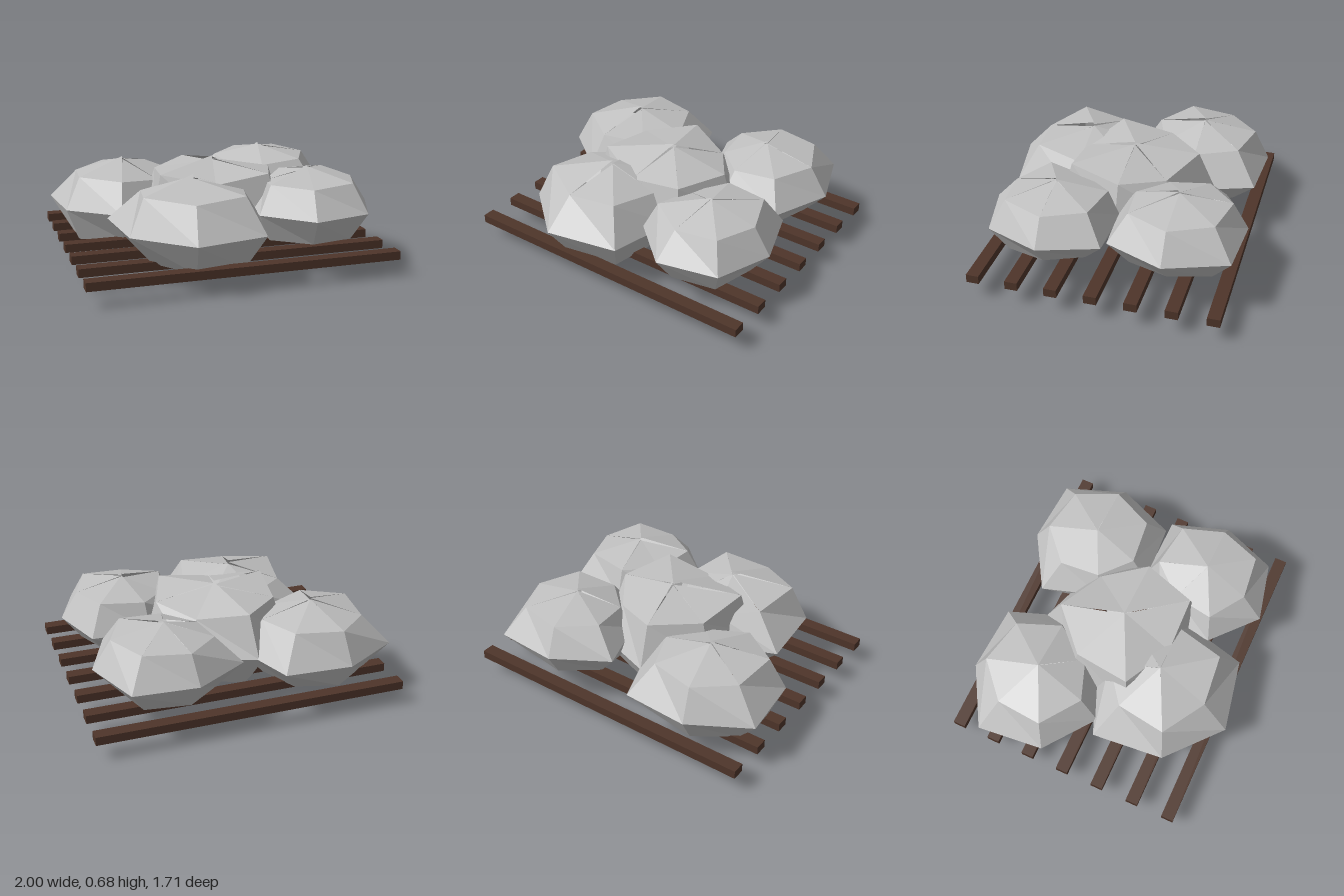
import * as THREE from 'three';

const SIDES = 7;
const stone = new THREE.MeshStandardMaterial({ color: 0xc0c0c0, flatShading: true, side: THREE.DoubleSide });
stone.name = 'grey stone';
const wood = new THREE.MeshStandardMaterial({ color: 0x4e352a });
wood.name = 'dark wood';

// Each boulder: centre, half height, and radii of the widest and upper rings,
// listed from +x round towards +z
const BOULDERS = [
  { name: 'backRightBoulder', at: [-0.53, 0.35, -0.38], h: 0.27,
    mid: [0.48, 0.39, 0.46, 0.47, 0.52, 0.45, 0.53], up: [0.33, 0.3, 0.34, 0.36, 0.33, 0.35, 0.35] },
  { name: 'backLeftBoulder', at: [0.465, 0.41, -0.435], h: 0.24,
    mid: [0.455, 0.48, 0.41, 0.36, 0.49, 0.43, 0.5], up: [0.335, 0.34, 0.3, 0.28, 0.31, 0.33, 0.34] },
  { name: 'frontLeftBoulder', at: [0.53, 0.41, 0.33], h: 0.235,
    mid: [0.42, 0.45, 0.45, 0.425, 0.4, 0.39, 0.476], up: [0.31, 0.335, 0.3, 0.33, 0.27, 0.32, 0.34] },
  { name: 'frontRightBoulder', at: [-0.23, 0.35, 0.33], h: 0.285,
    mid: [0.45, 0.55, 0.535, 0.51, 0.56, 0.42, 0.45], up: [0.33, 0.395, 0.35, 0.4, 0.34, 0.33, 0.33] },
  { name: 'centreBoulder', at: [0, 0.35, -0.025], h: 0.31,
    mid: [0.48, 0.52, 0.45, 0.52, 0.47, 0.535, 0.48], up: [0.395, 0.44, 0.36, 0.445, 0.39, 0.42, 0.34] },
];

function seeded(seed) {
  let s = seed;
  return () => (s = (s * 16807) % 2147483647) / 2147483647;
}

// Faceted seven-sided boulder; the cap facets meet the axis at uneven heights
function boulder({ name, at, h, mid, up }, index) {
  const rand = seeded(1234 + index * 777);
  const mean = mid.reduce((a, b) => a + b) / SIDES;
  const low = mid.map(() => mean * (0.68 + 0.12 * rand()));
  const point = (k, r, y) => {
    const a = (k / SIDES) * Math.PI * 2;
    return [Math.cos(a) * r, y, Math.sin(a) * r];
  };
  const ringAt = (radii, dir) => radii.map((r, k) => point(k, r, dir * h * r / mean));
  const upper = ringAt(up, 1), middle = ringAt(mid, 0), lower = ringAt(low, -1);
  const peak = (k) => h * (k === 2 ? 1.1 : 0.98 + 0.1 * rand());
  const p = [];
  const tri = (...corners) => corners.forEach((c) => p.push(...c));
  for (let i = 0; i < SIDES; i++) {
    const j = (i + 1) % SIDES;
    tri([0, peak(i), 0], upper[j], upper[i]);
    for (const [t, b] of [[upper, middle], [middle, lower]]) {
      tri(t[i], t[j], b[i]);
      tri(t[j], b[j], b[i]);
    }
    tri([0, -peak(i), 0], lower[i], lower[j]);
  }
  const geo = new THREE.BufferGeometry();
  geo.setAttribute('position', new THREE.Float32BufferAttribute(p, 3));
  geo.computeVertexNormals();
  const mesh = new THREE.Mesh(geo, stone);
  mesh.name = name;
  mesh.position.set(...at);
  return mesh;
}

export function createModel() {
  const model = new THREE.Group();
  model.name = 'bouldersOnSlats';

  // Pile of boulders
  const pile = new THREE.Group();
  pile.name = 'boulderPile';
  BOULDERS.forEach((b, i) => pile.add(boulder(b, i)));
  model.add(pile);

  // Row of parallel wooden slats
  const slats = new THREE.Group();
  slats.name = 'slats';
  const slatGeo = new THREE.BoxGeometry(2, 0.055, 0.081);
  for (let i = 0; i < 7; i++) {
    const slat = new THREE.Mesh(slatGeo, wood);
    slat.name = `slat${i + 1}`;
    slat.position.set(0, 0.148, -0.778 + i * 0.2517);
    slats.add(slat);
  }
  model.add(slats);
  return model;
}
